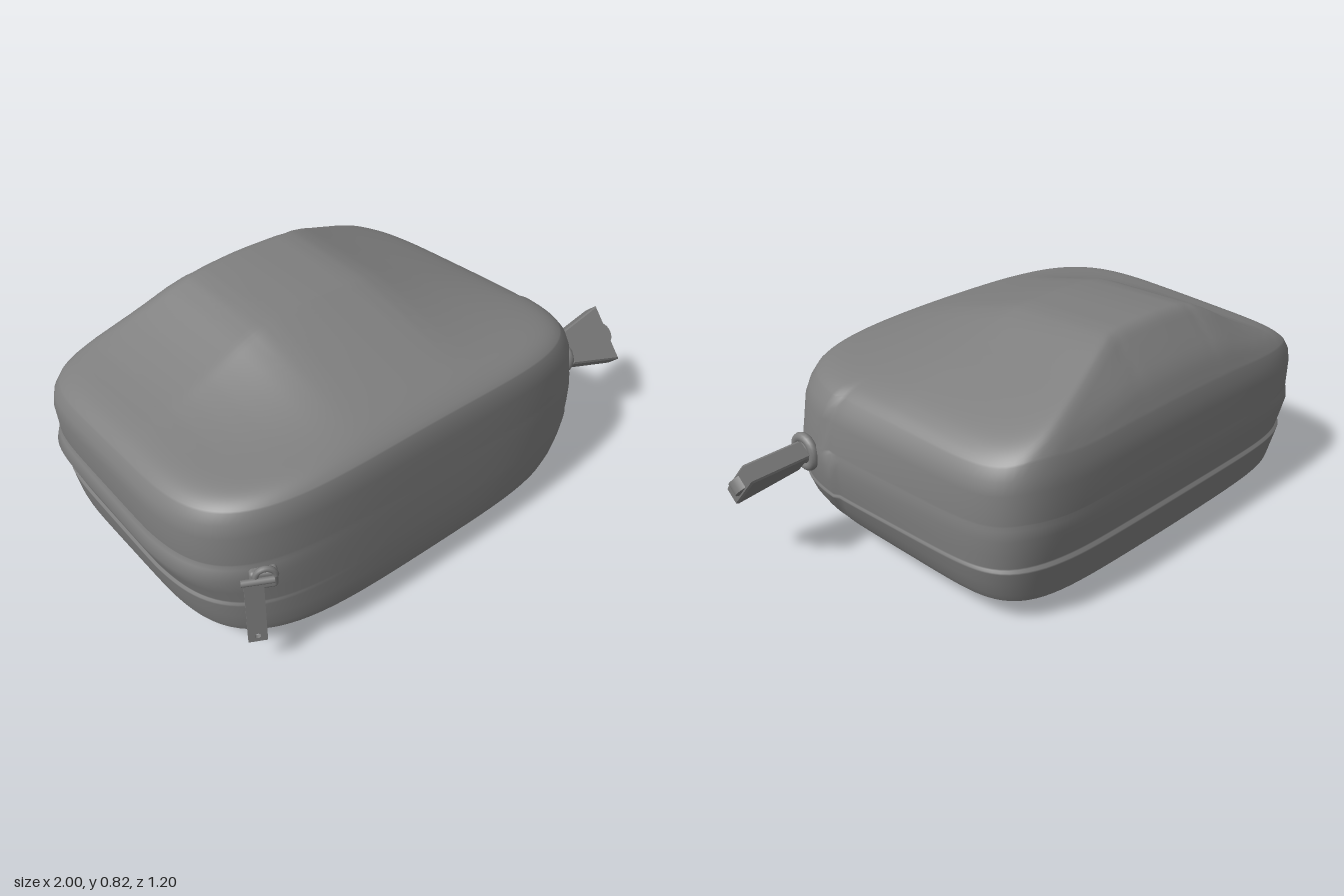
import * as THREE from 'three';
import { RoundedBoxGeometry } from 'three/addons/geometries/RoundedBoxGeometry.js';

const SEG = 200, CX = -0.14;

// piecewise linear lookup in [key, ...values] rows with ascending keys
function lookup(rows, k, col = 1) {
  if (k <= rows[0][0]) return rows[0][col];
  for (let i = 1; i < rows.length; i++) {
    if (k <= rows[i][0]) {
      const f = (k - rows[i - 1][0]) / (rows[i][0] - rows[i - 1][0]);
      return THREE.MathUtils.lerp(rows[i - 1][col], rows[i][col], f);
    }
  }
  return rows[rows.length - 1][col];
}
const soft = (rows, k, w) =>
  (lookup(rows, k - w) + 2 * lookup(rows, k) + lookup(rows, k + w)) / 4;

// wall sections: height fraction, left x, right x, back z, front z
const WALL = [
  [0, -0.935, 0.64, -0.555, 0.592],
  [0.06, -0.945, 0.665, -0.562, 0.598],
  [0.16, -0.957, 0.695, -0.573, 0.6],
  [0.262, -0.967, 0.715, -0.585, 0.6],
  [0.278, -0.968, 0.717, -0.586, 0.6],
  [0.286, -0.96, 0.712, -0.577, 0.6],
  [0.3, -0.961, 0.713, -0.578, 0.6],
  [0.4, -0.98, 0.72, -0.586, 0.599],
  [0.52, -1, 0.724, -0.593, 0.597],
  [0.6, -0.985, 0.72, -0.596, 0.595],
  [0.622, -0.975, 0.716, -0.591, 0.594],
  [0.64, -0.979, 0.716, -0.595, 0.594],
  [0.85, -0.98, 0.7, -0.593, 0.589],
  [0.94, -0.968, 0.68, -0.588, 0.582],
  [1, -0.948, 0.655, -0.577, 0.572],
];

// rounded outline, softer at the front, narrowing to the back, with a raised front panel on the left side
function outline(a, t) {
  const c = Math.cos(a), s = Math.sin(a), n = s > 0 ? 4.3 : 6.5;
  const r = 1 / Math.pow(Math.abs(c) ** n + Math.abs(s) ** n, 1 / n);
  const z = r * s * (s > 0 ? lookup(WALL, t, 4) : -lookup(WALL, t, 3));
  const half = c > 0 ? lookup(WALL, t, 2) - CX : CX - lookup(WALL, t, 1);
  const back = Math.max(0, 0.2 - z);
  let dx = half * (1 - back * (c > 0 ? 0.1 : 0.045) * Math.sin(Math.PI * (0.15 + 0.7 * t)));
  if (c > 0 && z < 0.23 + 0.03 * Math.cos(t * 8)) dx -= 0.012 * Math.min(1, t * 6);
  return [CX + r * c * dx, z];
}

const rimBottom = (x, z) => 0.088 + 0.02 * ((x - CX) / 0.8) ** 2 + 0.015 * z / 0.6;
const rimTop = (x, z) => 0.6 + 0.03 * z / 0.6 - 0.03 * ((x - CX) / 0.8) ** 2;

// padded hump on top, falling steeply to the back
const HUMP_X = [[-0.93, 0], [-0.75, 0.14], [-0.6, 0.42], [-0.4, 0.93], [-0.2, 1],
  [0.05, 0.98], [0.25, 0.62], [0.5, 0.22], [0.64, 0]];
function hump(x, z) {
  const shift = 0.12 * Math.min(1, Math.max(0, Math.abs(x + 0.17) - 0.2) / 0.4);
  const ridge = -0.41 - shift;
  const fz = [[-0.585, 0], [ridge - (0.585 + ridge) * 0.76, 0.34], [ridge, 1], [0, 0.84], [0.55, 0]];
  return 0.212 * soft(HUMP_X, x, 0.06) * soft(fz, z, 0.02);
}

// skin a list of rings, each ring a function angle -> [x, y, z]
function loft(rings) {
  const pos = [], idx = [];
  rings.forEach((ring, i) => {
    for (let j = 0; j < SEG; j++) {
      pos.push(...ring(j / SEG * Math.PI * 2));
      if (i === 0) continue;
      const a = (i - 1) * SEG + j, b = (i - 1) * SEG + (j + 1) % SEG;
      idx.push(a, a + SEG, b, b, a + SEG, b + SEG);
    }
  });
  const g = new THREE.BufferGeometry();
  g.setAttribute('position', new THREE.Float32BufferAttribute(pos, 3));
  g.setIndex(idx);
  g.computeVertexNormals();
  return g;
}

function add(parent, name, geo, x = 0, y = 0, z = 0, rx = 0, ry = 0, rz = 0) {
  const m = new THREE.Mesh(geo, new THREE.MeshStandardMaterial({ color: 0x7e7e7e }));
  m.name = name;
  m.position.set(x, y, z);
  m.rotation.set(rx, ry, rz);
  parent.add(m);
}

const polygon = (points) => new THREE.Shape(points.map(([x, y]) => new THREE.Vector2(x, y)));

// walls and padded top in one smooth skin
function bodyGeometry() {
  const rings = WALL.map(([t]) => (a) => {
    const [x, z] = outline(a, t);
    return [x, THREE.MathUtils.lerp(rimBottom(x, z), rimTop(x, z) + hump(x, z), t), z];
  });
  const N = 44;
  for (let i = 1; i <= N; i++) {
    const s = 1 - (i / N) ** 1.35;
    rings.push((a) => {
      const [ox, oz] = outline(a, 1);
      const x = CX + (ox - CX) * s, z = oz * s;
      return [x, rimTop(x, z) + 0.035 * (1 - s ** 20) + hump(x, z), z];
    });
  }
  return loft(rings);
}

// sagging underside, fuller towards the back
function baseGeometry() {
  const N = 16, rings = [];
  for (let i = 0; i <= N; i++) {
    const s = (i / N) ** 0.8;
    rings.push((a) => {
      const [ox, oz] = outline(a, 0);
      return [CX + (ox - CX) * s, rimBottom(ox, oz) * s ** (5.6 - 3.8 * oz), oz * s];
    });
  }
  return loft(rings);
}

// flared tag hanging from an eyelet on the left side
function sideTag() {
  const g = new THREE.Group();
  g.name = 'sideTag';
  add(g, 'eyelet', new THREE.TorusGeometry(0.052, 0.018, 10, 28), 0, 0, 0, 0, Math.PI / 2);
  add(g, 'eyeletPlug', new THREE.CylinderGeometry(0.032, 0.045, 0.06, 20), 0.015, 0, 0, 0, 0, -Math.PI / 2);
  const tag = new THREE.Group();
  tag.name = 'tag';
  tag.position.set(0.035, 0, -0.01);
  tag.rotation.set(-Math.PI / 4, -0.04, -0.13, 'ZXY');
  const block = new THREE.ExtrudeGeometry(
    polygon([[0, -0.058], [0.225, -0.105], [0.225, 0.105], [0, 0.058]]), {
      depth: 0.056, bevelEnabled: true, bevelSize: 0.006, bevelThickness: 0.006, bevelSegments: 1,
    });
  add(tag, 'tagBlock', block, 0, 0, -0.028);
  add(tag, 'tagLoop', new THREE.CylinderGeometry(0.046, 0.046, 0.045, 24), 0.21, 0, 0, Math.PI / 2);
  g.add(tag);
  g.position.set(0.715, 0.365, 0.355);
  return g;
}

// zip slider with a hanging pull at the front right corner
function zipPull() {
  const g = new THREE.Group();
  g.name = 'zipPull';
  add(g, 'slider', new RoundedBoxGeometry(0.085, 0.07, 0.04, 2, 0.012), 0.01, 0, 0);
  add(g, 'sliderBridge', new THREE.TorusGeometry(0.03, 0.01, 8, 16, Math.PI), 0.015, 0.02, 0.018);
  add(g, 'hinge', new THREE.CylinderGeometry(0.011, 0.011, 0.1, 12), -0.01, 0.01, 0.026, 0, 0, Math.PI / 2);
  const shape = polygon([[-0.03, -0.25], [0.03, -0.25], [0.03, 0.01], [-0.03, 0.01]]);
  const hole = new THREE.Path();
  hole.absarc(0, -0.226, 0.01, 0, Math.PI * 2, true);
  shape.holes.push(hole);
  const strap = new THREE.ExtrudeGeometry(shape, { depth: 0.014, bevelEnabled: false, curveSegments: 10 });
  add(g, 'pullStrap', strap, -0.022, 0, 0.014);
  g.position.set(-0.81, 0.375, 0.54);
  g.rotation.y = -0.5;
  return g;
}

export function createModel() {
  const model = new THREE.Group();
  model.name = 'pouch';
  add(model, 'body', bodyGeometry());
  add(model, 'base', baseGeometry());
  model.add(sideTag(), zipPull());
  return model;
}
